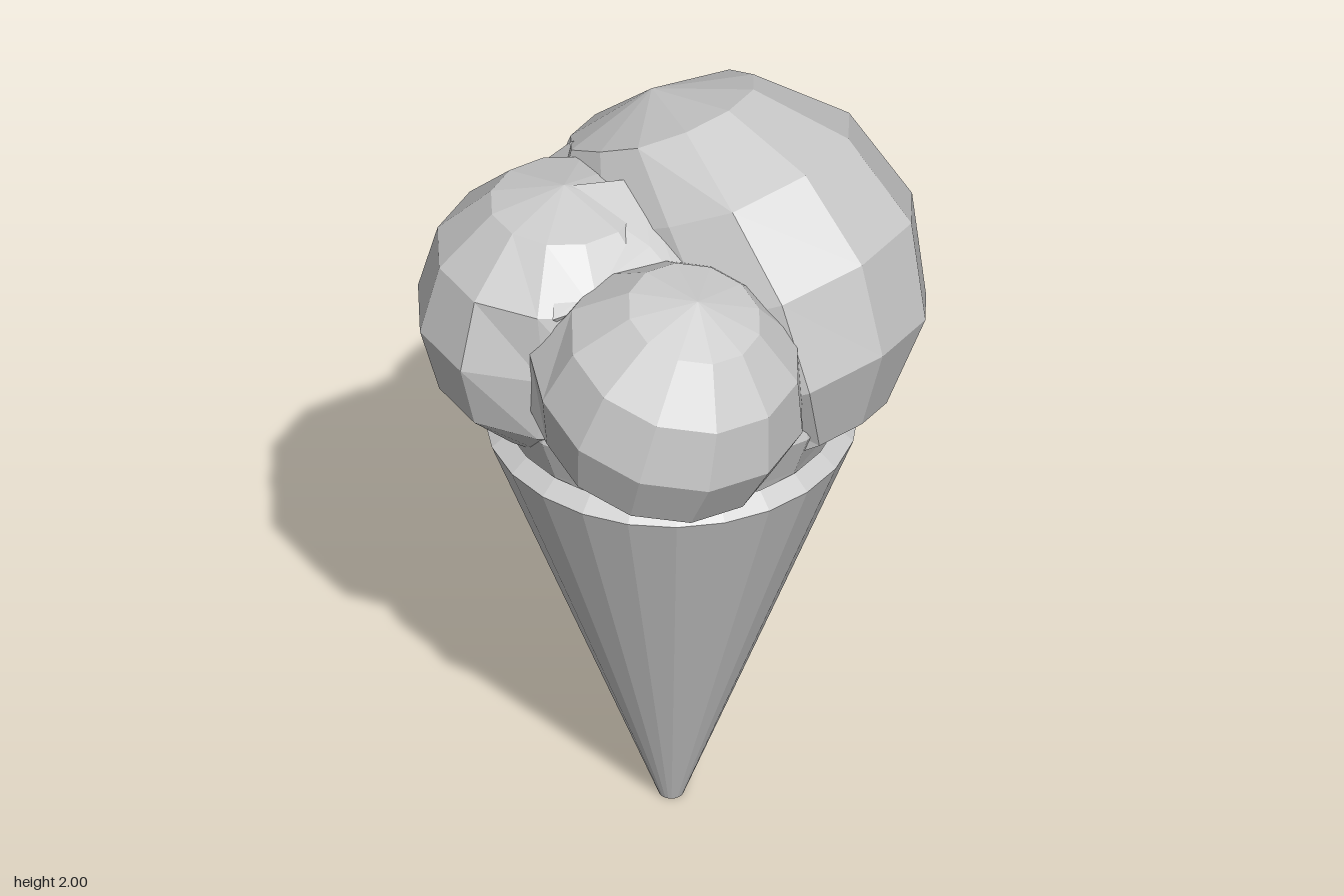
import * as THREE from 'three';
import { ConvexGeometry } from 'three/addons/geometries/ConvexGeometry.js';

export function createModel() {
  const model = new THREE.Group();
  const grey = new THREE.MeshStandardMaterial({ color: 0xcccccc, flatShading: true });

  const add = (name, geometry, x = 0, y = 0, z = 0) => {
    const mesh = new THREE.Mesh(geometry, grey);
    mesh.name = name;
    mesh.position.set(x, y, z);
    model.add(mesh);
  };

  const lathe = (name, profile, sides) => add(name,
    new THREE.LatheGeometry(profile.map(([r, y]) => new THREE.Vector2(r, y)), sides), -0.03, 0, 0.01);

  // Faceted scoop: a 12 x 6 ball, tilted sideways, stretched, then dented by a rule
  const scoop = (name, [x, y, z], [rx, ry, rz], tilt, dent) => {
    const g = new THREE.SphereGeometry(1, 12, 6);
    g.rotateZ(THREE.MathUtils.degToRad(tilt));
    g.scale(rx, ry, rz);
    const p = g.attributes.position;
    const v = new THREE.Vector3();
    for (let i = 0; i < p.count; i++) {
      dent(v.fromBufferAttribute(p, i));
      p.setXYZ(i, v.x, v.y, v.z);
    }
    add(name, g, x, y, z);
  };

  // Melted ice cream bridging two scoops
  const bridge = (name, points) =>
    add(name, new ConvexGeometry(points.map((p) => new THREE.Vector3(...p))));

  // Cone with a blunt tip, a bevelled rim and a recessed mouth
  lathe('cone', [[0, 0], [0.03, 0], [0.453, 1.14], [0.41, 1.175], [0.39, 1.12], [0, 1.12]], 24);

  // Packed ice cream flaring from the mouth up into the scoops
  lathe('packedBase', [[0.39, 1.12], [0.41, 1.18], [0.455, 1.3], [0.42, 1.45], [0, 1.6]], 12);

  // Back scoop: front half pressed in by its neighbours, one back corner flatter
  scoop('backScoop', [0.015, 1.52, -0.145], [0.512, 0.48, 0.475], 30, (v) => {
    if (v.z > 0.2) v.z = 0.2 + (v.z - 0.2) * 0.5;
    if (v.x < -0.25 && v.z < -0.1) v.x += 0.07;
  });

  // Right scoop: flattened where it meets the left one
  scoop('rightScoop', [-0.193, 1.5, 0.215], [0.362, 0.365, 0.365], 0, (v) => {
    if (v.x > 0.05 && v.z > 0.1) v.z = Math.min(v.z, 0.26);
  });

  // Left scoop: drawn forward over the right one
  scoop('leftScoop', [0.232, 1.5, 0.285], [0.333, 0.325, 0.33], -15, (v) => {
    if (v.x < -0.2 && v.z > 0.1) v.set(-0.285, v.y, 0.2);
  });

  bridge('sideBridge', [
    [-0.49, 1.53, -0.145], [-0.37, 1.76, -0.145], [-0.46, 1.32, -0.14],
    [-0.505, 1.5, 0.04], [-0.46, 1.68, 0.06], [-0.35, 1.81, 0.03], [-0.46, 1.31, 0.06],
    [-0.2, 1.5, 0],
  ]);
  bridge('topBridge', [
    [-0.195, 1.86, 0.215], [-0.08, 1.86, 0.06], [0.06, 1.79, 0.18], [0.16, 1.75, 0.19],
    [0.2, 1.72, 0.05], [0, 1.69, 0.46], [0, 1.4, 0.15],
  ]);

  return model;
}
